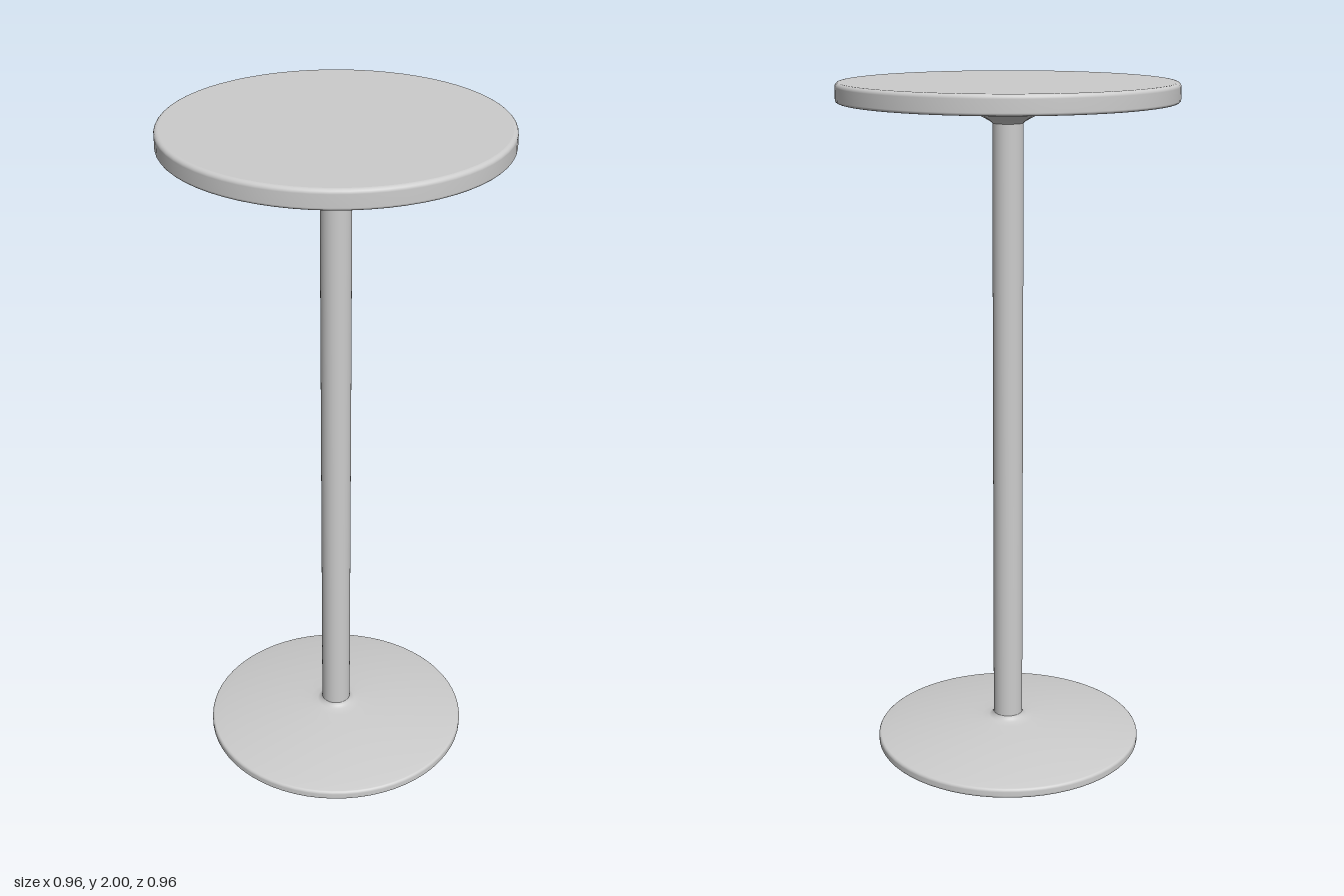
import * as THREE from 'three';
import { mergeGeometries } from 'three/addons/utils/BufferGeometryUtils.js';

const grey = new THREE.MeshStandardMaterial({ color: 0xcccccc });
grey.name = 'light grey';

// Turned part: each run of [radius, height] points is smooth, with a sharp edge between runs.
// Runs go from the underside outwards, then up and back to the axis.
function turned(name, runs, segments) {
  const lathes = runs.map((run) =>
    new THREE.LatheGeometry(run.map(([r, y]) => new THREE.Vector2(r, y)), segments));
  const mesh = new THREE.Mesh(mergeGeometries(lathes), grey);
  mesh.name = name;
  return mesh;
}

// Quarter-round edge points around (r, y), from angle a to angle b in degrees
function round(r, y, radius, a, b, steps = 5) {
  const points = [];
  for (let i = 0; i <= steps; i++) {
    const t = THREE.MathUtils.degToRad(a + ((b - a) * i) / steps);
    points.push([r + radius * Math.cos(t), y + radius * Math.sin(t)]);
  }
  return points;
}

export function createModel() {
  const group = new THREE.Group();
  group.name = 'pedestalTable';

  // Round top with softened rims
  group.add(turned('tableTop', [
    [[0, 1.945], [0.472, 1.945]],
    [...round(0.472, 1.953, 0.008, -90, 0), ...round(0.468, 1.988, 0.012, 0, 90)],
    [[0.468, 2], [0, 2]],
  ], 64));

  // Flared mounting collar under the top
  group.add(turned('mountingCollar', [
    [[0.044, 1.885], [0.05, 1.89], [0.062, 1.897], [0.09, 1.911], [0.12, 1.924],
      [0.133, 1.931], [0.139, 1.938], [0.14, 1.946]],
  ], 48));

  // Slim column
  group.add(turned('column', [[[0.044, 0.06], [0.044, 1.94]]], 40));

  // Shallow domed foot with a fillet where the column meets it
  group.add(turned('base', [
    [[0, 0], [0.392, 0]],
    [...round(0.392, 0.008, 0.008, -90, 0), ...round(0.39, 0.02, 0.01, 0, 70),
      [0.36, 0.036], [0.3, 0.046], [0.24, 0.054], [0.18, 0.061], [0.12, 0.066],
      [0.08, 0.069], [0.058, 0.072], [0.048, 0.077], [0.044, 0.086]],
  ], 64));

  return group;
}
